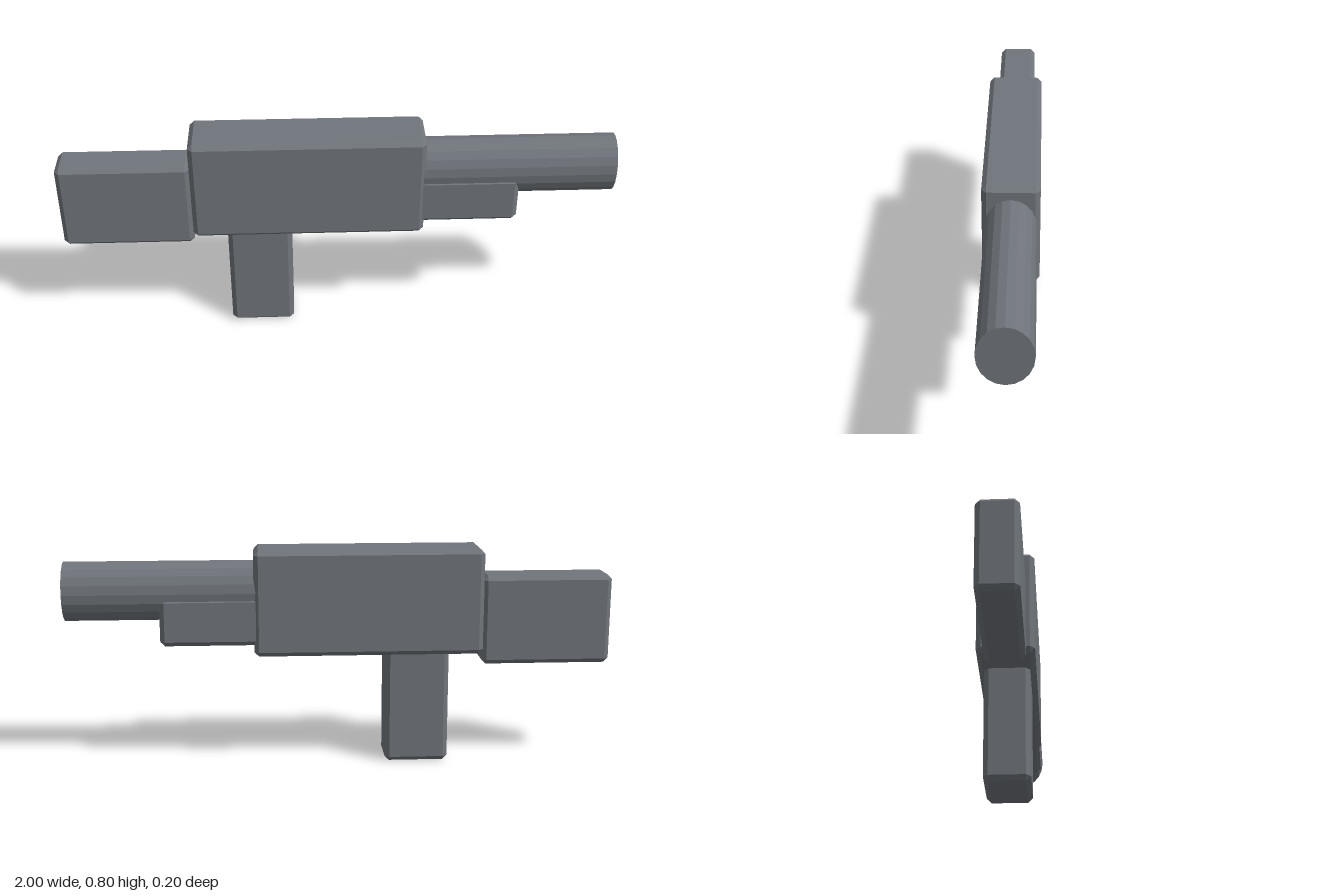
import * as THREE from 'three';
import { ConvexGeometry } from 'three/addons/geometries/ConvexGeometry.js';

const BEVEL = 0.017;

// Box between two x and two y limits, half depth in z, with every edge chamfered
function chamferedBox(name, [x0, x1], [y0, y1], halfDepth, material) {
  const half = [(x1 - x0) / 2, (y1 - y0) / 2, halfDepth];
  const points = [];
  for (const sx of [-1, 1]) for (const sy of [-1, 1]) for (const sz of [-1, 1]) {
    for (let full = 0; full < 3; full++) {
      const [x, y, z] = half.map((h, i) => (i === full ? h : h - BEVEL));
      points.push(new THREE.Vector3(sx * x, sy * y, sz * z));
    }
  }
  const mesh = new THREE.Mesh(new ConvexGeometry(points), material);
  mesh.name = name;
  mesh.position.set((x0 + x1) / 2, (y0 + y1) / 2, 0);
  return mesh;
}

export function createModel() {
  const model = new THREE.Group();
  const gunmetal = new THREE.MeshStandardMaterial({ color: 0x70757b, flatShading: true });
  gunmetal.name = 'gunmetal grey';

  // Blocky parts; the grip and foregrip run a little way into the body
  model.add(
    chamferedBox('body', [-0.523, 0.315], [0.412, 0.8], 0.1, gunmetal),
    chamferedBox('stock', [-1, -0.523], [0.366, 0.697], 0.07, gunmetal),
    chamferedBox('grip', [-0.4, -0.165], [0, 0.45], 0.08, gunmetal),
    chamferedBox('foregrip', [0.27, 0.655], [0.453, 0.632], 0.09, gunmetal),
  );

  // Barrel with an upright oval section
  const geometry = new THREE.CylinderGeometry(1, 1, 0.72, 20);
  geometry.rotateZ(-Math.PI / 2);
  geometry.scale(1, 0.109, 0.09);
  const barrel = new THREE.Mesh(geometry, gunmetal);
  barrel.name = 'barrel';
  barrel.position.set(0.64, 0.646, 0);
  model.add(barrel);

  return model;
}
